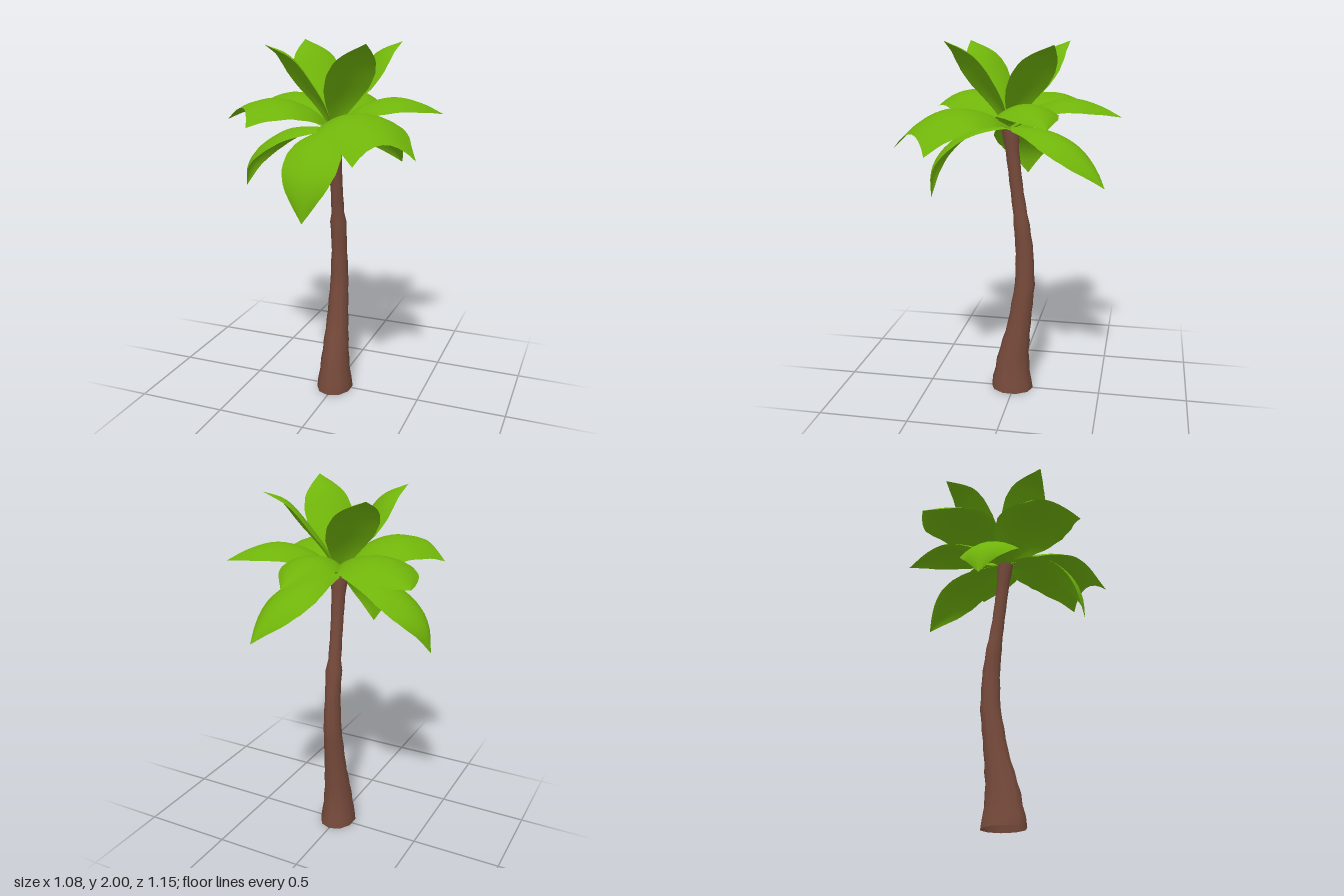
import * as THREE from 'three';
import { mergeVertices } from 'three/addons/utils/BufferGeometryUtils.js';

const leafGreen = new THREE.MeshStandardMaterial({ name: 'leafGreen', color: 0x70b40a, side: THREE.DoubleSide });
const barkBrown = new THREE.MeshStandardMaterial({ name: 'barkBrown', color: 0x764a3b, side: THREE.DoubleSide });

// Piecewise-linear lookup in rows of [key, a, b, ...]
function lookup(rows, key) {
  let i = 0;
  while (i < rows.length - 2 && key > rows[i + 1][0]) i++;
  const [p, q] = [rows[i], rows[i + 1]];
  const f = THREE.MathUtils.clamp((key - p[0]) / (q[0] - p[0]), 0, 1);
  return p.map((v, k) => THREE.MathUtils.lerp(v, q[k], f));
}

// Bent, tapering trunk: height, centre z, half width in x, half depth in z
const trunkRows = [
  [0, 0.01, 0.104, 0.124], [0.05, 0.012, 0.094, 0.112], [0.2, 0.005, 0.077, 0.09],
  [0.4, -0.03, 0.062, 0.066], [0.65, -0.063, 0.05, 0.056], [0.85, -0.06, 0.042, 0.05],
  [1.0, -0.043, 0.045, 0.045], [1.06, -0.035, 0.035, 0.04], [1.2, -0.015, 0.033, 0.036],
  [1.4, 0.008, 0.036, 0.037], [1.53, 0.022, 0.046, 0.048],
];

function makeTrunk() {
  const rings = 26;
  const tube = new THREE.CylinderGeometry(1, 1, 1, 10, rings, true);
  tube.deleteAttribute('uv');
  const geo = mergeVertices(tube);
  const pos = geo.attributes.position;
  for (let i = 0; i < pos.count; i++) {
    const f = pos.getY(i) + 0.5;
    const [y, z, rx, rz] = lookup(trunkRows, f * 1.53);
    const ripple = Math.round(f * rings) % 2 ? 1.035 : 0.985; // bark rings
    pos.setXYZ(i, pos.getX(i) * rx * ripple, y, z + pos.getZ(i) * rz * ripple);
  }
  geo.computeVertexNormals();
  const mesh = new THREE.Mesh(geo, barkBrown);
  mesh.name = 'trunk';
  return mesh;
}

// Outlines: position along the leaf, share of the greatest half width
const pointed = [[0, 0.15], [0.15, 0.5], [0.3, 0.82], [0.45, 1], [0.6, 0.99], [0.75, 0.78], [0.88, 0.4], [1, 0]];
const slender = [[0, 0.1], [0.15, 0.36], [0.3, 0.68], [0.45, 0.93], [0.6, 1], [0.75, 0.84], [0.88, 0.45], [1, 0]];
const broad = [[0, 0.15], [0.15, 0.5], [0.3, 0.82], [0.45, 1], [0.65, 1], [0.8, 0.85], [0.92, 0.45], [1, 0]];
const forked = [[0, 0.15], [0.15, 0.5], [0.3, 0.82], [0.5, 1], [0.7, 0.98], [0.85, 0.84], [1, 0.74]];

// Spines: share of the reach, height
const spines = {
  upright: [[0.02, 1.53], [0.16, 1.66], [0.38, 1.79], [0.69, 1.935], [1, 1.985]],
  level: [[0, 1.54], [0.25, 1.655], [0.55, 1.7], [0.8, 1.665], [1, 1.605]],
  lower: [[0, 1.54], [0.25, 1.63], [0.55, 1.66], [0.8, 1.6], [1, 1.51]],
  sloping: [[0, 1.54], [0.37, 1.53], [0.68, 1.43], [0.9, 1.28], [1, 1.18]],
  hanging: [[0, 1.54], [0.25, 1.54], [0.5, 1.52], [0.8, 1.42], [0.95, 1.31], [1, 1.18]],
  hooked: [[0, 1.54], [0.25, 1.54], [0.5, 1.515], [0.72, 1.455], [0.9, 1.365], [0.98, 1.27], [1, 1.13]],
};

// Arched leaf from the crown towards (tipX, tipZ)
function makeLeaf({ name, tip, spine, width, outline = pointed, notch = 0, arch = 0.06, drop = 0 }) {
  const rows = 18, cols = 8;
  const crown = new THREE.Vector3(0, 0, 0.025);
  const out = new THREE.Vector3(tip[0], 0, tip[1]).sub(crown);
  const reach = out.length();
  out.normalize();
  const side = new THREE.Vector3(-out.z, 0, out.x);
  const curve = new THREE.CatmullRomCurve3(spines[spine].map(
    ([r, y]) => new THREE.Vector3(r * reach, y + drop * r * r, 0)));
  const verts = [], index = [];
  for (let i = 0; i <= rows; i++) {
    const t = i / rows;
    const p = curve.getPointAt(t), tan = curve.getTangentAt(t);
    const w = lookup(outline, t)[1];
    for (let j = 0; j <= cols; j++) {
      const u = j / cols * 2 - 1;
      const sag = arch * w * u * u;                     // edges sink below the spine
      const back = notch * t ** 4 * (1 - u * u);        // hollow between two end corners
      const r = p.x + tan.y * sag - tan.x * back;
      const y = p.y - tan.x * sag - tan.y * back;
      const v = crown.clone().addScaledVector(out, r).addScaledVector(side, u * w * width);
      verts.push(v.x, y, v.z);
      if (i < rows && j < cols) {
        const a = i * (cols + 1) + j, c = a + cols + 1;
        index.push(a, a + 1, c, a + 1, c + 1, c);
      }
    }
  }
  const geo = new THREE.BufferGeometry();
  geo.setAttribute('position', new THREE.Float32BufferAttribute(verts, 3));
  geo.setIndex(index);
  geo.computeVertexNormals();
  const mesh = new THREE.Mesh(geo, leafGreen);
  mesh.name = name;
  return mesh;
}

const leaves = [
  // Four young leaves standing up
  { name: 'uprightLeafBackRight', tip: [-0.285, -0.265], spine: 'upright', width: 0.138, outline: slender, arch: 0.03 },
  { name: 'uprightLeafBackLeft', tip: [0.29, -0.25], spine: 'upright', width: 0.138, outline: slender, arch: 0.03 },
  { name: 'uprightLeafFrontRight', tip: [-0.265, 0.295], spine: 'upright', width: 0.135, outline: slender, arch: 0.03 },
  { name: 'uprightLeafFrontLeft', tip: [0.27, 0.305], spine: 'upright', width: 0.135, outline: slender, arch: 0.03, drop: 0.015 },
  // Spreading leaves
  { name: 'spreadingLeafBack', tip: [0, -0.575], spine: 'level', width: 0.145 },
  { name: 'spreadingLeafBackLeft', tip: [0.53, -0.25], spine: 'level', width: 0.155 },
  { name: 'spreadingLeafBackRight', tip: [-0.54, -0.305], spine: 'level', width: 0.185, outline: broad },
  { name: 'spreadingLeafFrontRight', tip: [-0.4, 0.41], spine: 'level', width: 0.215,
    outline: forked, notch: 0.06, arch: 0.08, drop: 0.05 },
  { name: 'spreadingLeafFrontLeft', tip: [0.445, 0.485], spine: 'lower', width: 0.225,
    outline: forked, notch: 0.07, arch: 0.08 },
  // Old leaves hanging down
  { name: 'hangingLeafRight', tip: [-0.54, 0.01], spine: 'hanging', width: 0.158 },
  { name: 'hangingLeafFront', tip: [0, 0.475], spine: 'hooked', width: 0.15, arch: 0.035 },
  { name: 'hangingLeafBack', tip: [0.23, -0.51], spine: 'sloping', width: 0.15, drop: 0.09 },
];

export function createModel() {
  const model = new THREE.Group();
  model.name = 'palmTree';
  const crown = new THREE.Group();
  crown.name = 'crown';
  leaves.forEach((leaf) => crown.add(makeLeaf(leaf)));
  model.add(makeTrunk(), crown);
  return model;
}
